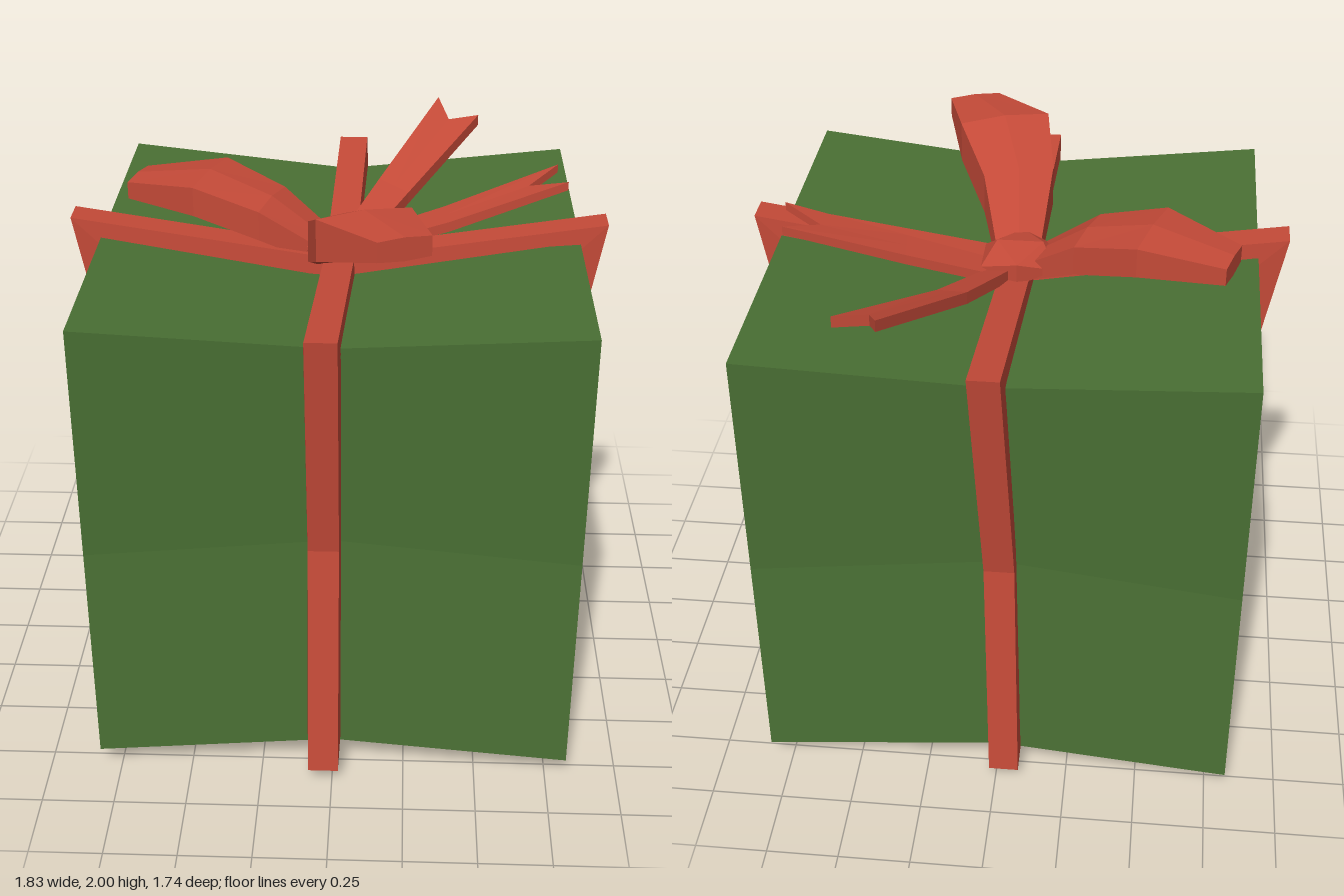
import * as THREE from 'three';

const green = new THREE.MeshStandardMaterial({ color: 0x4a7034 });
const red = new THREE.MeshStandardMaterial({ color: 0xc44a38, flatShading: true });

// Skin a list of equal-sized rings; either closed into a loop or capped at both ends
function loft(rings, closed) {
  const n = rings[0].length, m = rings.length, index = [];
  const quad = (a, b, c, d) => index.push(a, b, c, a, c, d);
  for (let i = 0; i < (closed ? m : m - 1); i++) {
    const p = i * n, q = ((i + 1) % m) * n;
    for (let j = 0; j < n; j++) {
      const k = (j + 1) % n;
      quad(p + j, q + j, q + k, p + k);
    }
  }
  if (!closed) {
    const e = (m - 1) * n;
    for (let j = 0; j < n / 2 - 1; j++) {
      quad(j, j + 1, n - 2 - j, n - 1 - j);
      quad(e + j + 1, e + j, e + n - 1 - j, e + n - 2 - j);
    }
  }
  const geo = new THREE.BufferGeometry();
  geo.setAttribute('position', new THREE.Float32BufferAttribute(rings.flat(2), 3));
  geo.setIndex(index);
  geo.computeVertexNormals();
  return geo;
}

// Six-sided strip along [x, y, z, half width, half thickness] sections.
// edge: edge thickness relative to the middle; notch: cut into the far end; roll: sideways tilt
function strip(sections, edge, notch = 0, roll = 0) {
  const first = sections[0], last = sections[sections.length - 1];
  const dir = new THREE.Vector3(last[0] - first[0], 0, last[2] - first[2]).normalize();
  const across = new THREE.Vector3(dir.z, 0, -dir.x);
  const rings = sections.map(([x, y, z, w, t], i) => {
    const cut = i === sections.length - 1 ? notch : 0;
    const at = (s, v) => {
      const back = s === 0 ? cut : 0;
      const h = v * t * (s === 0 ? 1 : edge);
      return [x + across.x * w * s - dir.x * back, y + h + roll * w * s - back * 0.35, z + across.z * w * s - dir.z * back];
    };
    return [at(-1, 1), at(0, 1), at(1, 1), at(1, -1), at(0, -1), at(-1, -1)];
  });
  return loft(rings, false);
}

// Ribbon loop round the box from [outward, height, sideways] points, wider on its inside
function ribbon(path, alongX) {
  const midY = 0.9;
  const rings = path.map(([u, y, s]) => {
    const at = (k, side) => {
      const o = u * k, h = midY + (y - midY) * k;
      return alongX ? [o, h, s - side] : [s + side, h, o];
    };
    return [at(1, -0.052), at(1, 0.052), at(0.89, 0.058), at(0.89, -0.058)];
  });
  return loft(rings, true);
}

// Box with its faces pinched in where the ribbons press, one flat shade per quad
function pinchedBox() {
  const geo = new THREE.BoxGeometry(1.64, 1.65, 1.64, 2, 2, 2).toNonIndexed();
  const p = geo.attributes.position, normal = geo.attributes.normal;
  const sign = (v) => (Math.abs(v) < 0.01 ? 0 : Math.sign(v));
  for (let i = 0; i < p.count; i++) {
    const sx = sign(p.getX(i)), sy = sign(p.getY(i)), sz = sign(p.getZ(i));
    let x = sx * 0.82, y = 0.905 + sy * 0.825, z = sz * 0.82;
    if (!sx && !sz) y = sy > 0 ? 1.59 : 0.24;
    else if (!sx) {
      z = sz * (sy ? 0.77 : 0.7);
      if (sy) y = sy > 0 ? 1.66 : 0.11;
    } else if (!sz) {
      x = sx * [0.77, 0.69, 0.82][sy + 1];
      if (sy < 0) y = 0.11;
    }
    p.setXYZ(i, x, y, z);
  }
  geo.computeVertexNormals();
  const a = new THREE.Vector3(), b = new THREE.Vector3();
  for (let i = 0; i < p.count; i += 6) {
    a.fromBufferAttribute(normal, i).add(b.fromBufferAttribute(normal, i + 3)).normalize();
    for (let j = 0; j < 6; j++) normal.setXYZ(i + j, a.x, a.y, a.z);
  }
  return geo;
}

export function createModel() {
  const group = new THREE.Group();
  const add = (name, geo, mat = red) => {
    const mesh = new THREE.Mesh(geo, mat);
    mesh.name = name;
    group.add(mesh);
    return mesh;
  };

  add('giftBox', pinchedBox(), green);

  // Two crossing ribbons
  add('sideRibbon', ribbon([
    [0, 1.66, 0.045], [0.91, 1.8, 0.045], [0.75, 0.9, 0.05], [0.82, 0.03, 0], [0.64, 0.055, 0],
    [0, 0.2, 0.03], [-0.67, 0.03, 0.045], [-0.86, 0, 0.05], [-0.75, 0.9, 0.05], [-0.92, 1.8, 0.045],
  ], true));
  add('frontRibbon', ribbon([
    [0, 1.65, 0], [0.87, 1.73, -0.03], [0.76, 0.9, -0.03], [0.87, 0.05, -0.03], [0.66, 0.07, -0.03],
    [0, 0.2, -0.03], [-0.65, 0.07, -0.03], [-0.84, 0.05, -0.03], [-0.75, 0.9, -0.01], [-0.87, 1.75, 0.02],
  ], false));

  // Bow: knot, two puffed loops and two notched tails
  const knot = add('bowKnot', new THREE.IcosahedronGeometry(1, 0));
  knot.scale.set(0.15, 0.075, 0.15);
  knot.position.set(-0.01, 1.69, -0.01);

  add('bowLoopRight', strip([
    [-0.06, 1.67, 0, 0.08, 0.04], [-0.24, 1.77, -0.04, 0.125, 0.065],
    [-0.46, 1.835, -0.12, 0.155, 0.065], [-0.73, 1.812, -0.21, 0.085, 0.038],
  ], 0.8));
  add('bowLoopFront', strip([
    [0, 1.67, 0.05, 0.08, 0.045], [0.02, 1.81, 0.25, 0.125, 0.085],
    [0.09, 1.91, 0.46, 0.16, 0.085], [0.22, 1.945, 0.65, 0.09, 0.04],
  ], 0.85));

  add('bowTailBack', strip([
    [0.05, 1.66, -0.08, 0.045, 0.022], [0.18, 1.73, -0.36, 0.06, 0.022],
    [0.42, 1.885, -0.8, 0.085, 0.02],
  ], 1, 0.08, 0.25));
  add('bowTailLeft', strip([
    [0.06, 1.65, -0.05, 0.055, 0.018], [0.37, 1.74, -0.085, 0.07, 0.018],
    [0.77, 1.875, -0.15, 0.085, 0.015],
  ], 1, 0.12));

  return group;
}
